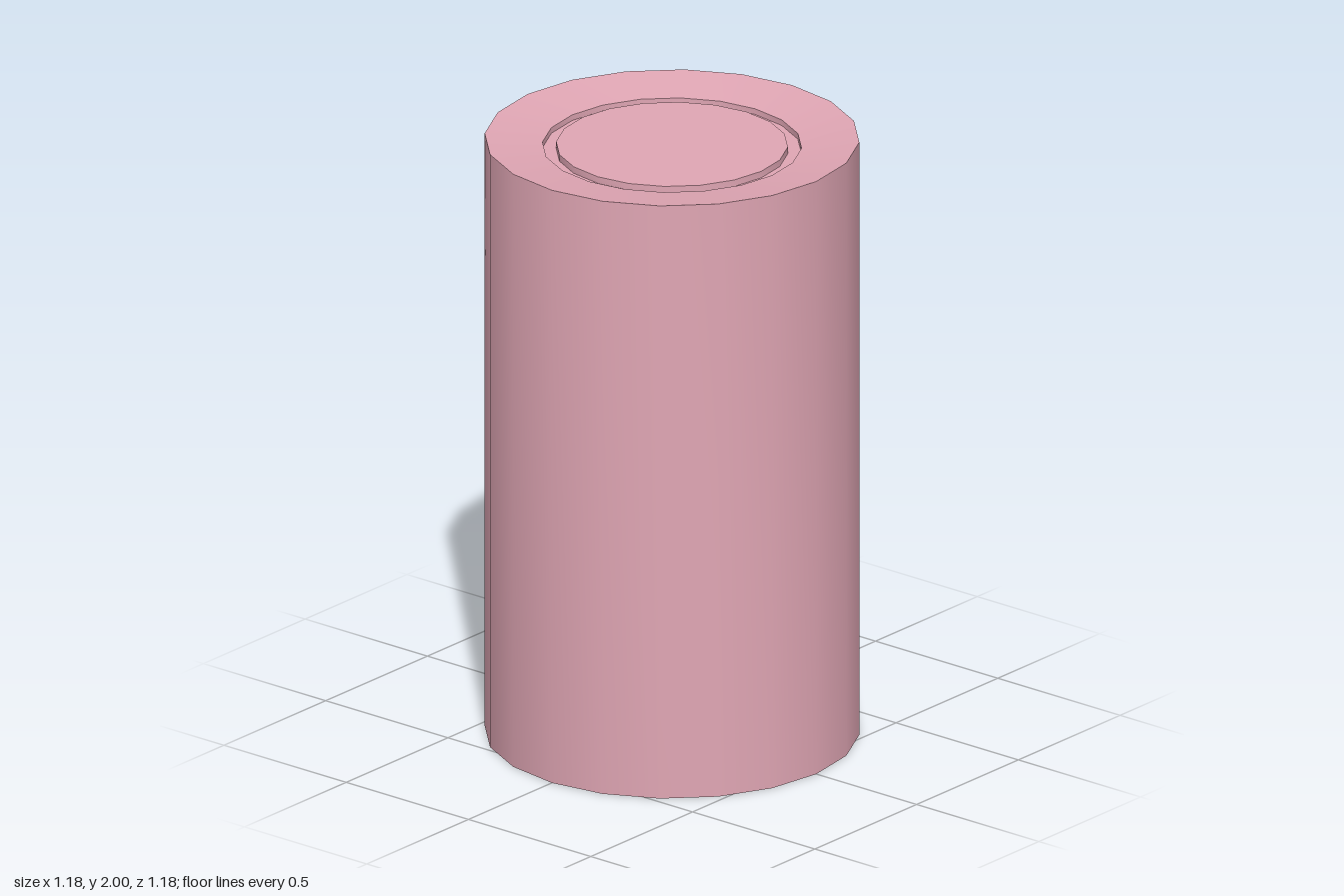
import * as THREE from 'three';
import { toCreasedNormals } from 'three/addons/utils/BufferGeometryUtils.js';

const SIDES = 20;
const HEIGHT = 2;

export function createModel() {
  const model = new THREE.Group();
  model.name = 'cylinder';
  const material = new THREE.MeshStandardMaterial({ color: 0xe0a6b4 });

  // Half profile of one end as [radius, depth below the rim], axis to rim:
  // raised centre disc, narrow groove, dished outer ring
  const end = [
    [0, 0.022], [0.365, 0.022],
    [0.365, 0.044], [0.408, 0.044],
    [0.408, 0.025], [0.59, 0],
  ];
  const bottom = end.map(([r, d]) => new THREE.Vector2(r, d));
  const top = end.map(([r, d]) => new THREE.Vector2(r, HEIGHT - d)).reverse();

  // Solid body with the same recessed end on both sides
  const lathe = new THREE.LatheGeometry([...bottom, ...top], SIDES);
  const body = new THREE.Mesh(toCreasedNormals(lathe, Math.PI / 6), material);
  body.name = 'body';
  model.add(body);

  return model;
}
